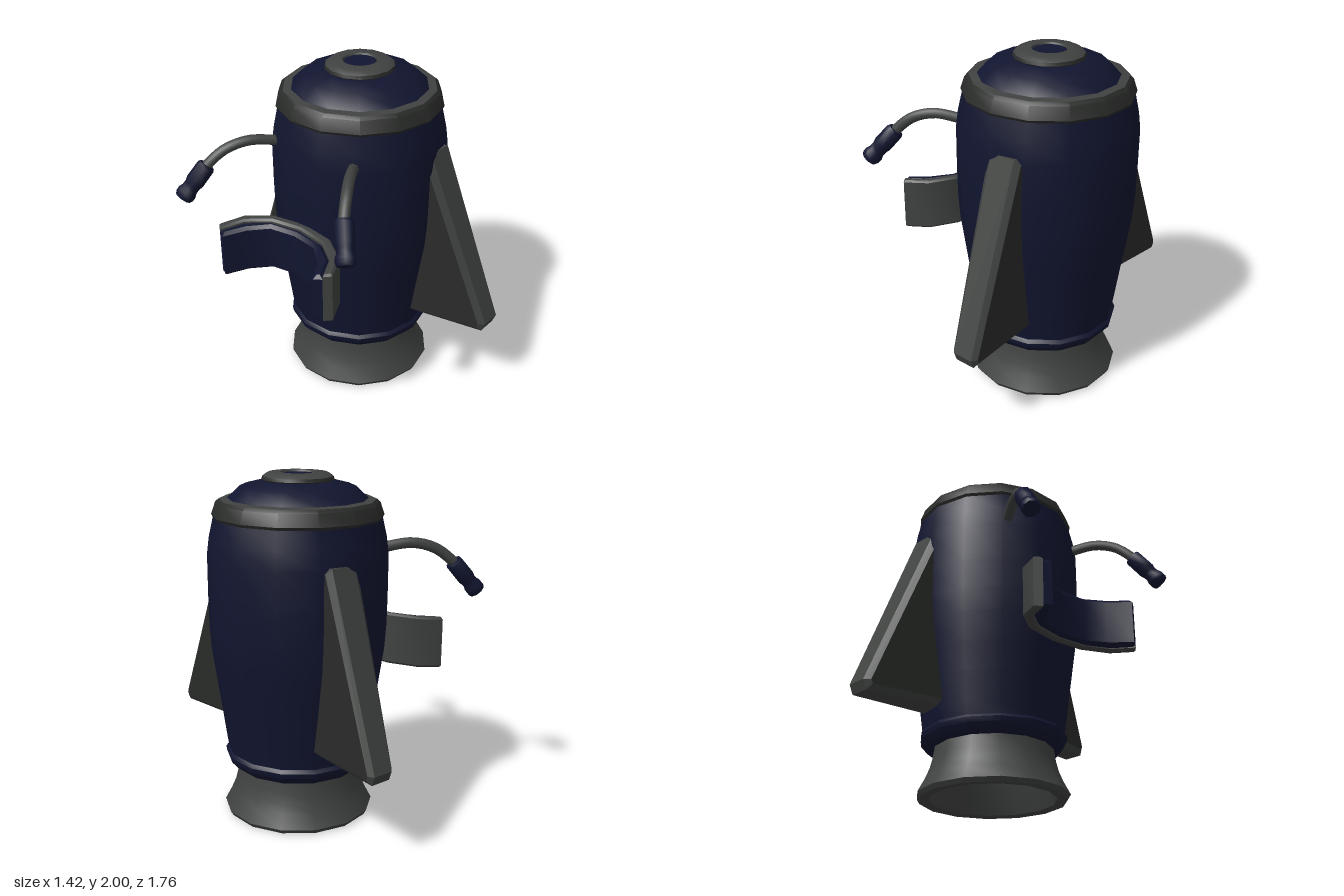
import * as THREE from 'three';
import { toCreasedNormals } from 'three/addons/utils/BufferGeometryUtils.js';

const grey = new THREE.MeshStandardMaterial({ color: 0x3f4240 });
const darkGrey = new THREE.MeshStandardMaterial({ color: 0x292b29 });
const navy = new THREE.MeshStandardMaterial({ color: 0x11152f });
const AXIS_X = 0.21;

function part(name, geometry, material, crease = 0.6) {
  const mesh = new THREE.Mesh(toCreasedNormals(geometry, crease), material);
  mesh.name = name;
  return mesh;
}

// Turned part with 14 sides, profile given as [radius, height] from bottom to top
function turned(name, profile, material) {
  const points = profile.map(([r, y]) => new THREE.Vector2(r, y));
  const mesh = part(name, new THREE.LatheGeometry(points, 14), material);
  mesh.position.x = AXIS_X;
  return mesh;
}

// Triangular fin with dark panels and a bevelled edge, thinner outwards; side is +1 or -1 in z
function fin(side) {
  const shape = new THREE.Shape([[0.3, 0.51], [0.84, 0.51], [0.85, 0.535], [0.475, 1.525], [0.3, 1.525]]
    .map(([z, y]) => new THREE.Vector2(z, y)));
  const geo = new THREE.ExtrudeGeometry(shape, {
    depth: 1, bevelEnabled: true, bevelThickness: 0.2, bevelSize: 0.03, bevelSegments: 1,
  });
  const pos = geo.attributes.position;
  for (let i = 0; i < pos.count; i++) {
    const z = pos.getX(i), y = pos.getY(i);
    const across = (pos.getZ(i) - 0.5) / 0.7;
    const t = (z - 0.47) / 0.4;
    const x = 0.3 + 0.055 * t - side * across * (0.112 - 0.027 * t);
    pos.setXYZ(i, x, y, side * z);
  }
  return part(side > 0 ? 'leftFin' : 'rightFin', geo, [darkGrey, grey], 0.4);
}

// Curved slab between two half outlines [x, z], mirrored in z, dropping slightly away from the body
function slab(name, outer, inner, y0, y1, bevel, material) {
  const mirrored = (pts) => [...pts, ...pts.slice(0, -1).reverse().map(([x, z]) => [x, -z])];
  const plan = [...mirrored(outer), ...mirrored(inner).reverse()];
  const shape = new THREE.Shape(plan.map(([x, z]) => new THREE.Vector2(x, -z)));
  const geo = new THREE.ExtrudeGeometry(shape, {
    depth: y1 - y0 - 2 * bevel, bevelEnabled: true, bevelThickness: bevel,
    bevelSize: bevel, bevelOffset: -bevel, bevelSegments: 1,
  });
  geo.rotateX(-Math.PI / 2).translate(0, y0 + bevel, 0);
  const pos = geo.attributes.position;
  for (let i = 0; i < pos.count; i++) pos.setY(i, pos.getY(i) + (pos.getX(i) + 0.28) * 0.1);
  const mesh = part(name, geo, material);
  mesh.position.z = -0.01;
  return mesh;
}

// Bent control arm ending in a ribbed grip
function controlArm(name, root, gripTop, gripEnd) {
  const group = new THREE.Group();
  group.name = name;
  const a = new THREE.Vector3(...root), b = new THREE.Vector3(...gripTop), c = new THREE.Vector3(...gripEnd);
  const along = (t, y) => a.clone().lerp(b, t).setY(y);
  const path = new THREE.CatmullRomCurve3([a, along(0.42, 1.595), along(0.75, 1.56), b, b.clone().lerp(c, 0.15)]);
  group.add(part('armTube', new THREE.TubeGeometry(path, 12, 0.031, 8), grey, 0.9));

  const length = b.distanceTo(c);
  const profile = [[0, 0], [0.046, 0], [0.053, 0.06], [0.054, 0.5], [0.047, 0.6],
    [0.047, 0.72], [0.056, 0.82], [0.056, 0.93], [0.048, 1], [0, 1]]
    .map(([r, t]) => new THREE.Vector2(r, t * length));
  const grip = part('grip', new THREE.LatheGeometry(profile, 8), navy, 0.9);
  grip.position.copy(b);
  grip.quaternion.setFromUnitVectors(new THREE.Vector3(0, 1, 0), c.clone().sub(b).normalize());
  group.add(grip);
  return group;
}

export function createModel() {
  const model = new THREE.Group();
  model.name = 'jetpack';

  // Hollow exhaust
  model.add(turned('nozzle', [
    [0, 0.27], [0.28, 0.27], [0.31, 0.16], [0.365, 0.015], [0.425, 0.01], [0.44, 0.035],
    [0.40, 0.11], [0.375, 0.17], [0.36, 0.23], [0.348, 0.31],
  ], grey));
  model.add(turned('burner', [[0, 0.22], [0.1, 0.22], [0.12, 0.28]], grey));

  // Tank with a lip around its foot
  model.add(turned('tank', [
    [0.3, 0.3], [0.385, 0.3], [0.425, 0.345], [0.43, 0.375], [0.42, 0.39], [0.415, 0.395],
    [0.425, 0.46], [0.45, 0.64], [0.475, 0.81], [0.5, 0.98], [0.51, 1.12], [0.513, 1.3],
    [0.513, 1.54], [0.5, 1.64], [0.475, 1.75],
  ], navy));

  // Cap
  model.add(turned('capBand', [
    [0.44, 1.74], [0.47, 1.74], [0.484, 1.765], [0.46, 1.835], [0.44, 1.852],
  ], darkGrey));
  model.add(turned('capRim', [[0.44, 1.852], [0.385, 1.858]], grey));
  model.add(turned('dome', [[0.4, 1.85], [0.385, 1.865], [0.32, 1.925], [0.2, 1.955], [0, 1.96]], navy));
  model.add(turned('knobEdge', [[0.19, 1.945], [0.203, 1.96], [0.197, 1.978]], darkGrey));
  model.add(turned('knob', [[0.197, 1.978], [0.17, 1.997], [0.1, 2.0], [0.095, 1.99]], grey));
  model.add(turned('knobCentre', [[0.1, 1.99], [0, 1.99]], navy));

  model.add(fin(1), fin(-1));

  // Back brace and its padding
  const outer = [[-0.54, -0.425], [-0.4, -0.36], [-0.3, -0.21], [-0.268, 0]];
  const middle = [[-0.575, -0.385], [-0.44, -0.32], [-0.35, -0.19], [-0.32, 0]];
  const inner = [[-0.6, -0.34], [-0.48, -0.265], [-0.39, -0.165], [-0.367, 0]];
  model.add(slab('brace', outer, middle, 0.845, 1.155, 0.012, grey));
  model.add(slab('bracePad', middle, inner, 0.855, 1.145, 0.018, navy));

  model.add(controlArm('leftControl', [-0.18, 1.57, 0.27], [-0.515, 1.48, 0.475], [-0.635, 1.3, 0.585]));
  model.add(controlArm('rightControl', [-0.18, 1.57, -0.27], [-0.535, 1.48, -0.5], [-0.67, 1.3, -0.575]));

  // The whole pack leans back very slightly
  model.rotation.x = -0.01;
  model.position.z = 0.005;
  const root = new THREE.Group();
  root.add(model);
  return root;
}
